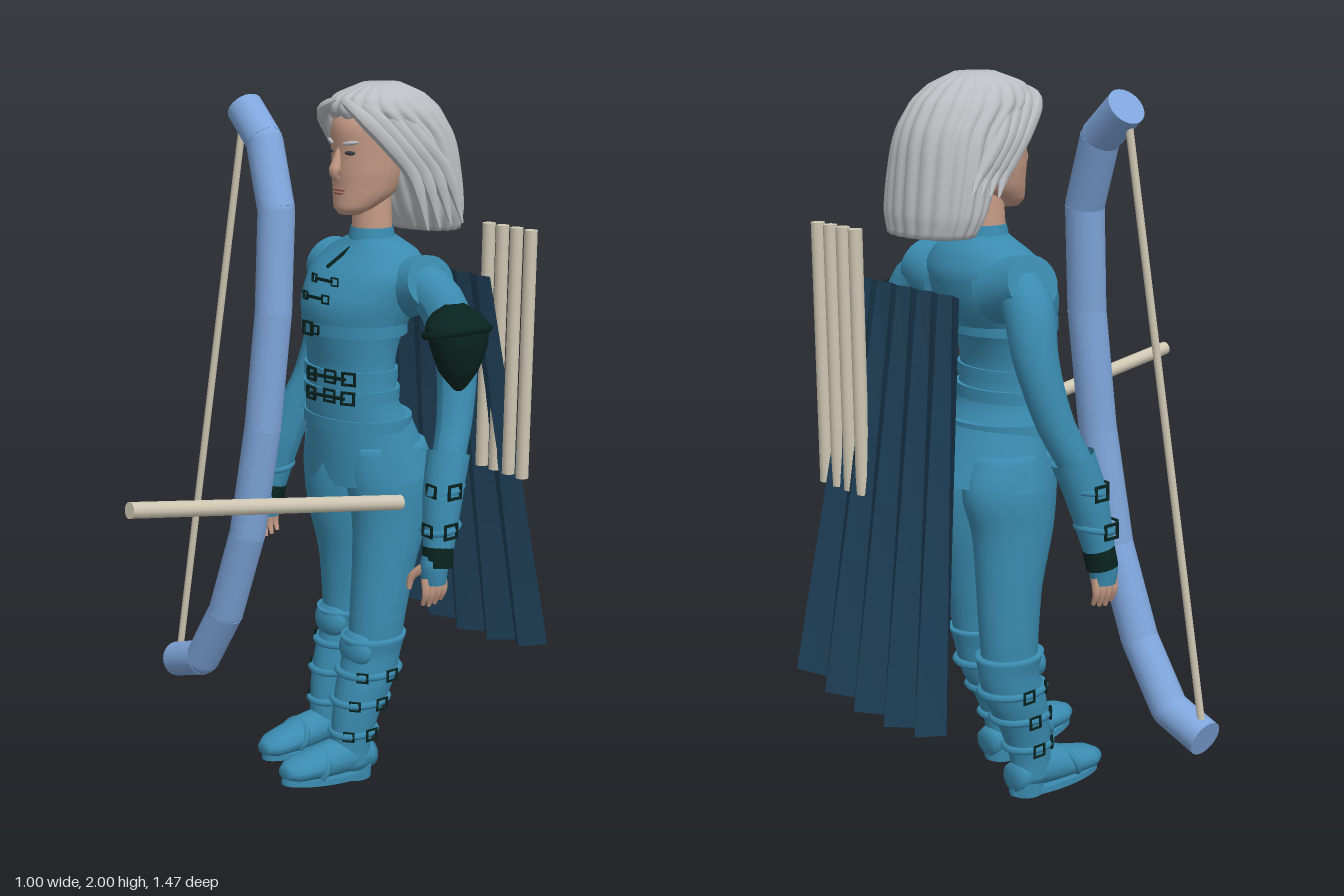
import * as THREE from 'three';

const mat = (name, color, side = THREE.FrontSide, flatShading = false) => {
  const m = new THREE.MeshStandardMaterial({ color, side, flatShading });
  m.name = name;
  return m;
};
const V = (p) => new THREE.Vector3(...p);

// Smooth body from horizontal ellipses [x, y, z, rx, rz], listed upwards
function loft(sections, segs = 28, ridge = () => 1) {
  const curves = [0, 2].map((k) => new THREE.CatmullRomCurve3(
    sections.map((s) => (k ? V([s[3], s[4], 0]) : V(s.slice(0, 3))))));
  const rows = (sections.length - 1) * 4, pos = [], idx = [];
  for (let i = -1; i <= rows + 1; i++) {
    const t = Math.min(Math.max(i / rows, 0), 1);
    const c = curves[0].getPoint(t), r = curves[1].getPoint(t);
    const k = i < 0 || i > rows ? 0 : 1;
    for (let j = 0; j <= segs; j++) {
      const a = (j % segs) / segs * Math.PI * 2, m = k * ridge(a, t);
      pos.push(c.x + r.x * m * Math.cos(a), c.y, c.z + r.y * m * Math.sin(a));
    }
  }
  const w = segs + 1;
  for (let i = 0; i < rows + 2; i++) for (let j = 0; j < segs; j++) {
    const a = i * w + j;
    idx.push(a, a + w, a + 1, a + 1, a + w, a + w + 1);
  }
  const g = new THREE.BufferGeometry();
  g.setAttribute('position', new THREE.Float32BufferAttribute(pos, 3));
  g.setIndex(idx);
  g.computeVertexNormals();
  return g;
}

// Tube along points whose radius runs through the given list
function limb(points, radii, segs = 14, sides = 14) {
  const curve = new THREE.CatmullRomCurve3(points.map(V));
  const g = new THREE.TubeGeometry(curve, segs, 1, sides);
  const p = g.attributes.position, v = new THREE.Vector3();
  for (let i = 0; i < p.count; i++) {
    const t = Math.floor(i / (sides + 1)) / segs, c = curve.getPointAt(t);
    const f = t * (radii.length - 1), k = Math.min(Math.floor(f), radii.length - 2);
    v.fromBufferAttribute(p, i).sub(c).multiplyScalar(THREE.MathUtils.lerp(radii[k], radii[k + 1], f - k)).add(c);
    p.setXYZ(i, v.x, v.y, v.z);
  }
  g.computeVertexNormals();
  return g;
}

export function createModel() {
  const root = new THREE.Group();
  const cloth = mat('teal cloth', 0x3a8bb0, THREE.DoubleSide);
  const bowBlue = mat('bow blue', 0x7fa6dc);
  const wood = mat('pale wood', 0xcfc7b3);
  const navy = mat('cape navy', 0x1f4059, THREE.DoubleSide, true);
  const dark = mat('dark leather', 0x08231f);
  const skin = mat('skin', 0xc49a85);
  const silver = mat('silver hair', 0xbabdc1);
  const lip = mat('lips', 0xa06c60);
  const iris = mat('eyes', 0x3b4048);

  const add = (name, g, m, pos = [0, 0, 0], rot = [0, 0, 0], scale = [1, 1, 1]) => {
    const mesh = new THREE.Mesh(g, m);
    mesh.name = name;
    mesh.position.set(...pos);
    mesh.rotation.set(...rot);
    mesh.scale.set(...scale);
    root.add(mesh);
    return mesh;
  };
  const rod = (name, a, b, r, m, sides = 12) => {
    const d = V(b).sub(V(a));
    const mesh = add(name, new THREE.CylinderGeometry(r, r, d.length(), sides), m);
    mesh.position.copy(V(a).addScaledVector(d, 0.5));
    mesh.quaternion.setFromUnitVectors(new THREE.Vector3(0, 1, 0), d.normalize());
  };
  const ball = new THREE.SphereGeometry(1, 20, 14);
  const frame = new THREE.TorusGeometry(0.02, 0.005, 4, 4).rotateZ(Math.PI / 4);
  const buckle = (x, y, z, yaw = 0, s = 1) => add('buckle', frame, dark, [x, y, z], [0, yaw, 0], [s * 1.1, s, s]);
  const cx = 0.04;

  // Head and face
  add('head', loft([[cx, 1.642, -0.235, 0.03, 0.03], [cx, 1.66, -0.25, 0.055, 0.058], [cx, 1.70, -0.285, 0.08, 0.093],
    [cx, 1.76, -0.30, 0.094, 0.11], [cx, 1.82, -0.305, 0.099, 0.114], [cx, 1.88, -0.31, 0.1, 0.122], [cx, 1.94, -0.32, 0.08, 0.1]]), skin);
  add('neck', new THREE.CylinderGeometry(0.052, 0.06, 0.16, 20), skin, [cx, 1.62, -0.315]);
  add('nose', limb([[cx, 1.825, -0.197], [cx, 1.785, -0.186], [cx, 1.755, -0.18], [cx, 1.742, -0.19]], [0.007, 0.012, 0.017, 0.008]), skin);
  add('upperLip', ball, lip, [cx, 1.713, -0.195], [0, 0, 0], [0.027, 0.006, 0.008]);
  add('lowerLip', ball, lip, [cx, 1.704, -0.195], [0, 0, 0], [0.022, 0.006, 0.009]);
  for (const s of [-1, 1]) {
    add('eye', ball, iris, [cx + s * 0.042, 1.815, -0.2], [0, s * 0.35, 0], [0.017, 0.006, 0.005]);
    add('eyebrow', ball, silver, [cx + s * 0.044, 1.842, -0.2], [0, s * 0.4, s * 0.15], [0.026, 0.006, 0.006]);
    add('ear', ball, skin, [cx + s * 0.125, 1.80, -0.37], [0.25, s * 0.5, -s * 0.2], [0.016, 0.045, 0.026]);
  }

  // Hair: ridged bob with loose locks round the face
  add('hair', loft([[cx, 1.59, -0.49, 0.14, 0.09], [cx, 1.65, -0.475, 0.16, 0.11], [cx, 1.75, -0.45, 0.16, 0.125],
    [cx, 1.85, -0.415, 0.15, 0.142], [cx, 1.92, -0.355, 0.135, 0.165], [cx, 1.965, -0.335, 0.105, 0.135], [cx, 1.998, -0.34, 0.045, 0.055]],
  120, (a) => 0.96 + 0.07 * Math.abs(Math.sin(a * 10))), silver);
  for (const s of [-1, 1]) for (let i = 0; i < 4; i++) {
    const z = -i * 0.035, out = cx + s * (0.125 + i * 0.008), end = s > 0 ? 1.6 : 1.69;
    add('hairLock', limb([[cx + s * 0.01, 1.955 + i * 0.01, -0.2 + z], [cx + s * 0.075, 1.925 + i * 0.01, -0.2 + z],
      [out - s * 0.01, 1.85, -0.265 + z], [out + s * 0.008, 1.75, -0.35 + z], [out + s * 0.03, end + i * 0.005, -0.39 + z]],
    [0.012, 0.022, 0.022, 0.02, 0.003], 20, 8), silver);
  }

  // Tunic
  add('tunic', loft([[cx, 0.98, -0.30, 0.18, 0.145], [cx, 1.05, -0.275, 0.17, 0.135], [cx, 1.12, -0.25, 0.155, 0.115],
    [cx, 1.22, -0.245, 0.148, 0.108], [cx, 1.30, -0.25, 0.152, 0.125], [cx, 1.40, -0.275, 0.178, 0.16],
    [cx, 1.48, -0.305, 0.195, 0.145], [cx, 1.54, -0.325, 0.15, 0.1], [cx, 1.575, -0.32, 0.07, 0.066]], 36), cloth);
  add('collar', new THREE.CylinderGeometry(0.06, 0.072, 0.06, 24, 1, true), cloth, [cx, 1.572, -0.315]);

  // Flared hem with a front notch
  const hem = new THREE.CylinderGeometry(1, 1, 1, 48, 4, true), hp = hem.attributes.position;
  for (let i = 0; i < hp.count; i++) {
    const t = 0.5 - hp.getY(i), x = hp.getX(i), z = hp.getZ(i);
    const low = 0.9 - 0.02 * z + (z > 0 ? 0.06 * Math.max(0, 1 - Math.abs(x) * 5) : 0);
    hp.setXYZ(i, cx + x * (0.168 + 0.037 * t), THREE.MathUtils.lerp(1.07, low, t), -0.275 - 0.04 * t + z * (0.134 + 0.034 * t));
  }
  hem.computeVertexNormals();
  add('tunicHem', hem, cloth);

  // Belts and clasps
  const belt = (y, z, rx, rz) => add('belt', new THREE.CylinderGeometry(1, 1, 0.034, 36, 1), cloth, [cx, y, z], [0, 0, 0], [rx, 1, rz]);
  belt(1.2, -0.245, 0.156, 0.116);
  belt(1.145, -0.248, 0.16, 0.12);
  belt(1.33, -0.256, 0.164, 0.141);
  belt(1.06, -0.272, 0.175, 0.14);
  for (const y of [1.2, 1.145]) for (const x of [0.025, 0.085, 0.145]) {
    buckle(x, y, y > 1.17 ? -0.122 - (x - cx) * 0.3 : -0.12 - (x - cx) * 0.3, (x - cx) * 5, 1.15);
  }
  add('beltStrap', new THREE.BoxGeometry(0.12, 0.008, 0.008), dark, [0.085, 1.2, -0.128], [0, 0.25, 0]);
  add('beltStrap', new THREE.BoxGeometry(0.12, 0.008, 0.008), dark, [0.085, 1.145, -0.126], [0, 0.25, 0]);
  buckle(0.015, 1.33, -0.11, 0, 1.2);
  buckle(0.05, 1.33, -0.11, 0, 0.8);
  for (const y of [1.465, 1.42]) {
    for (const s of [-1, 1]) buckle(cx + s * 0.045, y, y > 1.44 ? -0.148 : -0.116, s * 0.2, 0.75);
    add('clasp', new THREE.BoxGeometry(0.07, 0.007, 0.008), dark, [cx, y, y > 1.44 ? -0.146 : -0.113]);
  }
  add('frontSeam', new THREE.BoxGeometry(0.006, 0.1, 0.008), dark, [cx, 1.525, -0.2], [-1.05, 0, 0]);

  // Arms, cuffs, gloves and hands
  for (const s of [-1, 1]) {
    const at = (d, y, z) => [0.055 + s * d, y, z];
    add('shoulder', new THREE.CylinderGeometry(0.082, 0.1, 0.13, 24), cloth, [cx + s * 0.165, 1.455, -0.34], [0, 0, -s * 1.3], [0.9, 1, 1]);
    add('sleeve', limb([at(0.15, 1.465, -0.34), at(0.235, 1.42, -0.355), at(0.288, 1.28, -0.37), at(0.325, 1.12, -0.34),
      at(0.36, 0.98, -0.285), at(0.385, 0.77, -0.24)], [0.068, 0.066, 0.055, 0.048, 0.044, 0.036], 24, 18), cloth);
    add('cuff', limb([at(0.348, 1.025, -0.3), at(0.366, 0.92, -0.268), at(0.385, 0.775, -0.24)], [0.06, 0.055, 0.043], 10, 18), cloth);
    for (const [d, y, z] of [[0.366, 0.935, -0.272], [0.379, 0.83, -0.25]]) {
      add('cuffStrap', new THREE.TorusGeometry(0.05, 0.009, 6, 24), cloth, at(d, y, z), [Math.PI / 2 + 0.2, 0, 0]);
      buckle(...at(d + 0.055, y, z + 0.01), Math.PI / 2, 1.3);
      buckle(...at(d + 0.01, y, z + 0.056), 0, 1.1);
    }
    add('gloveBand', limb([at(0.383, 0.775, -0.24), at(0.39, 0.72, -0.232)], [0.043, 0.043], 4, 14), dark);
    add('glove', limb([at(0.384, 0.77, -0.235), at(0.386, 0.72, -0.225), at(0.386, 0.675, -0.225)], [0.034, 0.04, 0.034]), cloth);
    for (let i = 0; i < 4; i++) {
      const z = -0.192 - i * 0.021;
      add('finger', limb([at(0.387, 0.695, z), at(0.392, 0.65, z), at(0.38, 0.605 + Math.abs(i - 1.3) * 0.008, z)], [0.012, 0.011, 0.006], 8, 8), skin);
    }
    add('thumb', limb([at(0.37, 0.72, -0.2), at(0.345, 0.69, -0.18), at(0.34, 0.655, -0.175)], [0.014, 0.012, 0.007], 8, 8), skin);
  }
  add('shoulderGuard', loft([[0.40, 1.195, -0.335, 0.012, 0.015], [0.395, 1.25, -0.335, 0.048, 0.06], [0.395, 1.32, -0.335, 0.062, 0.09],
    [0.385, 1.37, -0.335, 0.068, 0.098], [0.365, 1.4, -0.345, 0.055, 0.07], [0.355, 1.425, -0.35, 0.02, 0.03]]), dark);
  add('guardRim', new THREE.TorusGeometry(0.085, 0.012, 6, 24), dark, [0.385, 1.355, -0.335], [Math.PI / 2, 0.2, 0], [0.8, 1.15, 1]);

  // Legs and boots; the left leg steps forward
  for (const [s, x, dz] of [[1, 0.155, 0], [-1, -0.078, -0.1]]) {
    add('trouserLeg', loft([[x, 0.38, -0.25 + dz * 0.9, 0.07, 0.08], [x, 0.48, -0.262 + dz * 0.8, 0.075, 0.085], [x - s * 0.005, 0.62, -0.285 + dz * 0.5, 0.083, 0.095],
      [x - s * 0.012, 0.78, -0.315, 0.094, 0.122], [x - s * 0.018, 0.9, -0.318, 0.1, 0.145], [x - s * 0.02, 1.0, -0.3, 0.085, 0.125]]), cloth);
    add('boot', loft([[x, 0.04, -0.17 + dz, 0.05, 0.06], [x, 0.11, -0.17 + dz, 0.052, 0.062], [x, 0.2, -0.188 + dz, 0.062, 0.075],
      [x, 0.3, -0.222 + dz, 0.075, 0.09], [x, 0.38, -0.243 + dz, 0.076, 0.09], [x, 0.435, -0.25 + dz * 0.9, 0.086, 0.1]]), cloth);
    add('kneeFlap', ball, cloth, [x, 0.4, -0.185 + dz * 0.9], [-0.15, 0, 0], [0.066, 0.055, 0.035]);
    for (const [y, z, r] of [[0.15, -0.178, 0.06], [0.245, -0.203, 0.074], [0.33, -0.232, 0.083]]) {
      add('bootStrap', new THREE.TorusGeometry(r, 0.011, 6, 28), cloth, [x, y, z + dz], [Math.PI / 2, 0, 0], [0.95, 1.14, 1]);
      buckle(x + s * (r + 0.008), y, z + dz - 0.015, Math.PI / 2, 1.1);
      buckle(x + s * r * 0.72, y, z + dz + r * 0.85, s * 0.7, 0.9);
    }
    // Foot runs heel to toe, turned to point forward
    const foot = loft([[0, 0, -0.05, 0.04, 0.04], [0, 0.07, -0.058, 0.05, 0.052], [0, 0.15, -0.052, 0.052, 0.052],
      [0, 0.23, -0.042, 0.056, 0.04], [0, 0.28, -0.036, 0.05, 0.033], [0, 0.315, -0.032, 0.025, 0.018]]);
    const lift = s > 0 ? 0.12 : 0;
    add('foot', foot, cloth, [x, 0.008, -0.235 + dz], [Math.PI / 2 - lift, 0, 0]);
    add('sole', new THREE.CylinderGeometry(1, 1, 0.018, 28), cloth, [x, 0.013 + lift * 0.15, -0.08 + dz], [-lift, 0, 0], [0.057, 1, 0.158]);
    add('heel', new THREE.CylinderGeometry(0.05, 0.048, 0.04, 20), cloth, [x, 0.022, -0.185 + dz]);
    add('toeStrap', new THREE.TorusGeometry(0.05, 0.009, 6, 24), cloth, [x, 0.055 + lift * 0.13, -0.04 + dz], [-0.4, 0, 0], [1.1, 0.95, 1]);
  }

  // Cape: pleats deepen and spread towards the bottom
  const cape = new THREE.PlaneGeometry(1, 1, 10, 6), cp = cape.attributes.position;
  for (let i = 0; i < cp.count; i++) {
    const u = cp.getX(i), t = 0.5 - cp.getY(i);
    const fold = Math.round((u + 0.5) * 10) % 2 ? 1 : -1;
    cp.setXYZ(i, cx + u * (0.43 + 0.25 * t), THREE.MathUtils.lerp(1.46, 0.31 + 0.18 * u * u, t), -0.565 - 0.142 * t + fold * (0.006 + 0.02 * t));
  }
  cape.computeVertexNormals();
  add('cape', cape, navy);

  // Arrows on the back and one in flight
  for (const x of [0.187, 0.243, 0.3, 0.357]) rod('backArrow', [x, 0.885, -0.625], [x, 1.6, -0.625], 0.019, wood);
  rod('flyingArrow', [0.42, 0.92, -0.115], [0.42, 1.055, 0.735], 0.021, wood);

  // Bow of straight segments, with its string
  const bow = [[-0.295, 1.915], [-0.19, 1.83], [-0.114, 1.645], [-0.098, 1.36], [-0.114, 1.026], [-0.156, 0.7], [-0.24, 0.434], [-0.347, 0.254], [-0.484, 0.206]]
    .map(([x, y]) => [x, y, 0.016 - (y - 0.2) * 0.077]);
  for (let i = 1; i < bow.length; i++) {
    rod('bowSegment', bow[i - 1], bow[i], 0.053, bowBlue, 24);
    if (i > 1) add('bowJoint', ball, bowBlue, bow[i - 1], [0, 0, 0], [0.052, 0.052, 0.052]);
  }
  rod('bowString', [-0.3, 1.87, -0.112], [-0.472, 0.25, 0.012], 0.011, wood, 8);

  return root;
}
